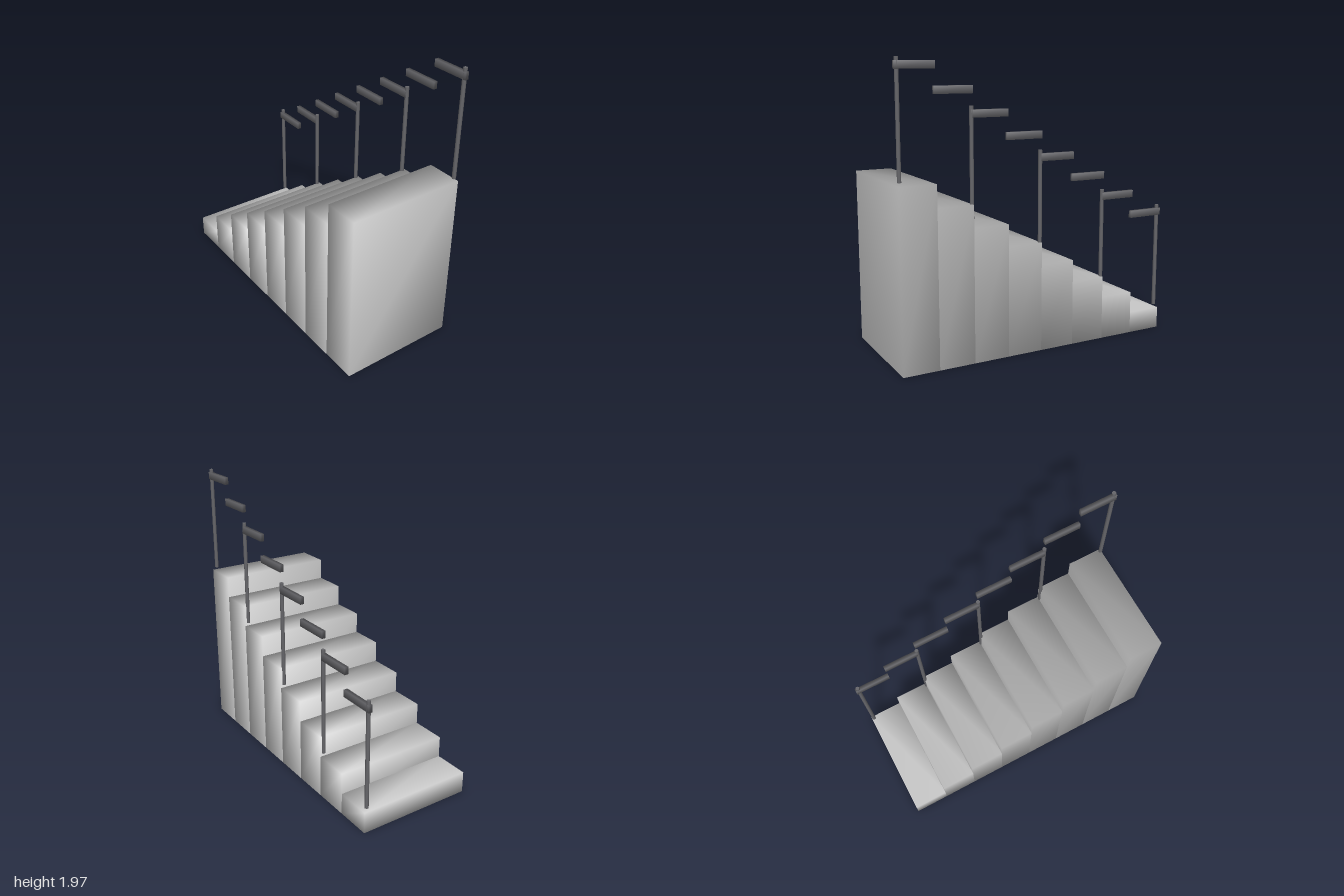
import * as THREE from 'three';
import { mergeVertices } from 'three/addons/utils/BufferGeometryUtils.js';

const STEPS = 8;
const RUN = 0.2488;   // depth of one step
const RISE = 0.15;    // height of one step
const WIDTH = 0.825;
const RAIL_X = 0.387;

// Box with shared corners, so the shading flows around its edges
function softBox(w, h, d) {
  const box = new THREE.BoxGeometry(w, h, d);
  box.deleteAttribute('normal');
  box.deleteAttribute('uv');
  const geometry = mergeVertices(box);
  geometry.computeVertexNormals();
  return geometry;
}

export function createModel() {
  const model = new THREE.Group();
  model.name = 'staircase';
  const stepMaterial = new THREE.MeshStandardMaterial({ color: 0xcccccc });
  const railMaterial = new THREE.MeshStandardMaterial({ color: 0x66666a });

  const add = (name, geometry, material, x, y, z) => {
    const mesh = new THREE.Mesh(geometry, material);
    mesh.name = name;
    mesh.position.set(x, y, z);
    model.add(mesh);
  };

  const railGeometry = softBox(0.027, 0.05, 0.258);
  const postHeight = 0.747;
  const postGeometry = new THREE.CylinderGeometry(0.0138, 0.0138, postHeight, 8);
  const addPost = (stepTop, z) =>
    add('railPost', postGeometry, railMaterial, RAIL_X, stepTop + 0.022 + postHeight / 2, z);

  for (let i = 0; i < STEPS; i++) {
    // Solid step from the ground up, tallest at the front
    const top = RISE * (STEPS - i);
    const z = RUN * ((STEPS - 1) / 2 - i);
    add('step', softBox(WIDTH, top, RUN), stepMaterial, 0, top / 2, z);

    // Level handrail segment above each step
    add('handrailSegment', railGeometry, railMaterial, RAIL_X, top + 0.72, z);

    // Post on the front edge of every second step
    if (i % 2 === 0) addPost(top, i === 0 ? 0.981 : z + RUN / 2 + 0.002);
  }
  // Closing post at the foot of the stairs
  addPost(RISE, -0.979);

  return model;
}
